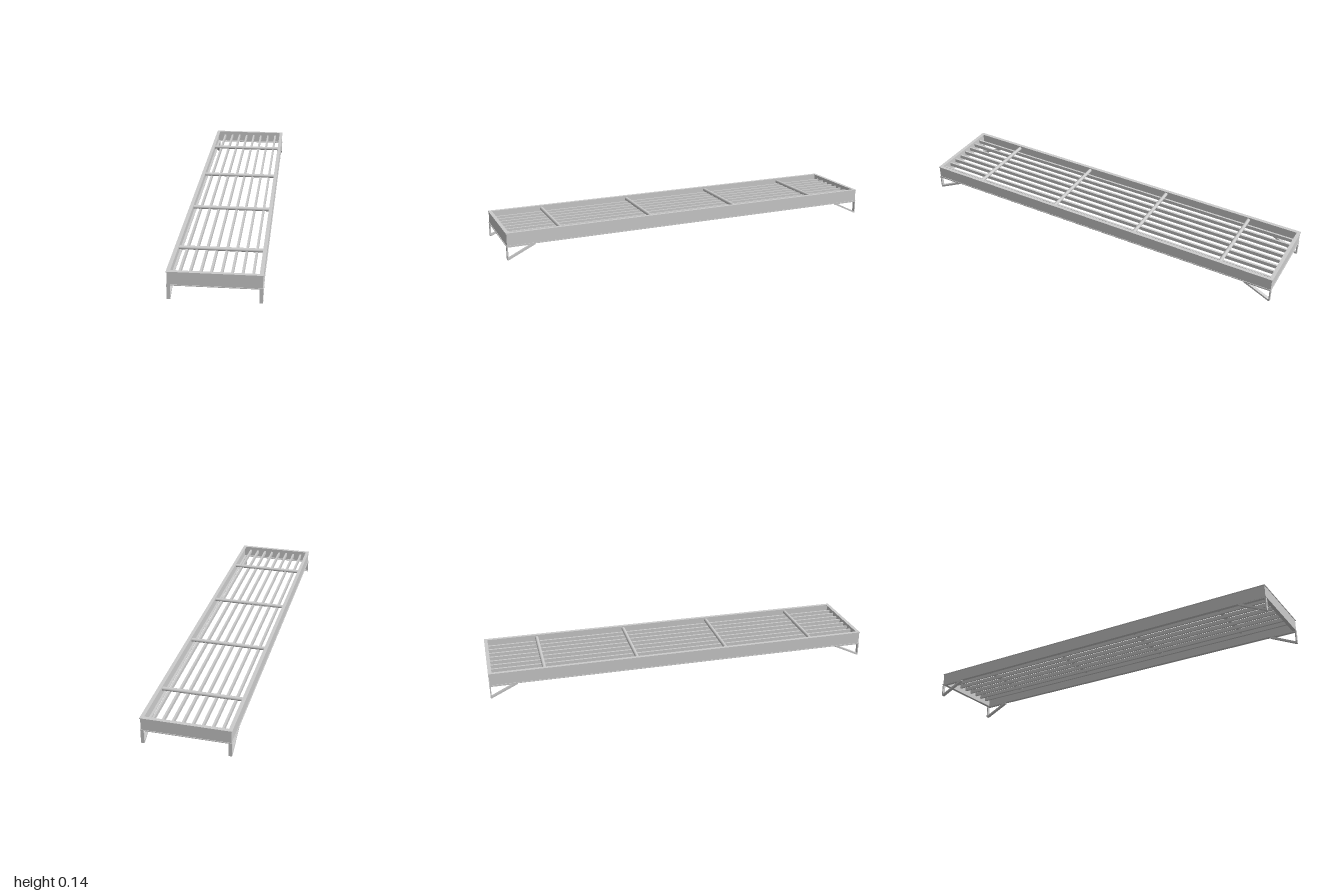
import * as THREE from 'three';

const material = new THREE.MeshStandardMaterial({ color: 0xcccccc, flatShading: true });
const smooth = new THREE.MeshStandardMaterial({ color: 0xcccccc });

const HALF_W = 0.213, HALF_L = 1, BASE = 0.068, TOP = 0.135;
const THICK = 0.004, FLANGE = 0.018, LIP = 0.003;

function add(parent, name, geometry, x = 0, y = 0, z = 0, mat = material) {
  const mesh = new THREE.Mesh(geometry, mat);
  mesh.name = name;
  mesh.position.set(x, y, z);
  parent.add(mesh);
  return mesh;
}

const points = list => list.map(p => new THREE.Vector2(...p));
const rectangle = (w, h) => points([[-w, -h], [w, -h], [w, h], [-w, h]]);

// Flat rectangular ring, lying horizontally
function flangeGeometry() {
  const shape = new THREE.Shape(rectangle(HALF_W, HALF_L));
  shape.holes.push(new THREE.Path(rectangle(HALF_W - FLANGE, HALF_L - FLANGE)));
  return new THREE.ExtrudeGeometry(shape, { depth: THICK, bevelEnabled: false }).rotateX(-Math.PI / 2);
}

// Triangular foot bent from flat bar: post, sloping brace and top strip
function footGeometry() {
  const shape = new THREE.Shape(points([[0.999, 0], [0.999, BASE], [0.86, BASE], [0.86, 0.063], [0.992, 0]]));
  shape.holes.push(new THREE.Path(points([[0.993, 0.009], [0.88, 0.064], [0.993, 0.064]])));
  const width = 0.016;
  return new THREE.ExtrudeGeometry(shape, { depth: width, bevelEnabled: false })
    .translate(0, 0, -width / 2);
}

export function createModel() {
  const model = new THREE.Group();
  model.name = 'slattedFrame';

  // Channel-section outer frame, webs set back behind the flange lips
  const frame = new THREE.Group();
  frame.name = 'outerFrame';
  model.add(frame);
  const flange = flangeGeometry();
  add(frame, 'bottomFlange', flange, 0, BASE, 0);
  add(frame, 'topFlange', flange, 0, TOP - THICK, 0);
  const webH = TOP - BASE - 2 * THICK, webY = (TOP + BASE) / 2;
  const webX = HALF_W - LIP - THICK / 2, webZ = HALF_L - LIP - THICK / 2;
  for (const s of [-1, 1]) {
    add(frame, 'sideWeb', new THREE.BoxGeometry(THICK, webH, 2 * webZ + THICK), s * webX, webY, 0);
    add(frame, 'endWeb', new THREE.BoxGeometry(2 * webX - THICK, webH, THICK), 0, webY, s * webZ);
  }

  // Lengthwise slats on edge
  const slat = new THREE.BoxGeometry(0.01, 0.019, 1.98);
  for (let i = 0; i < 8; i++) add(model, 'slat', slat, (i - 3.5) * 0.0465 + 0.002, 0.1045, 0);

  // Round crossbars notched over the slats
  const crossbar = new THREE.CylinderGeometry(0.0095, 0.0095, 0.396, 20).rotateZ(Math.PI / 2);
  for (const z of [-0.72, -0.24, 0.24, 0.72]) add(model, 'crossbar', crossbar, 0, 0.118, z, smooth);

  // Four corner feet
  const foot = footGeometry();
  for (const sx of [-1, 1]) {
    for (const sz of [-1, 1]) {
      add(model, 'foot', foot, sx * 0.204, 0, 0).rotation.y = -sz * Math.PI / 2;
    }
  }
  return model;
}
